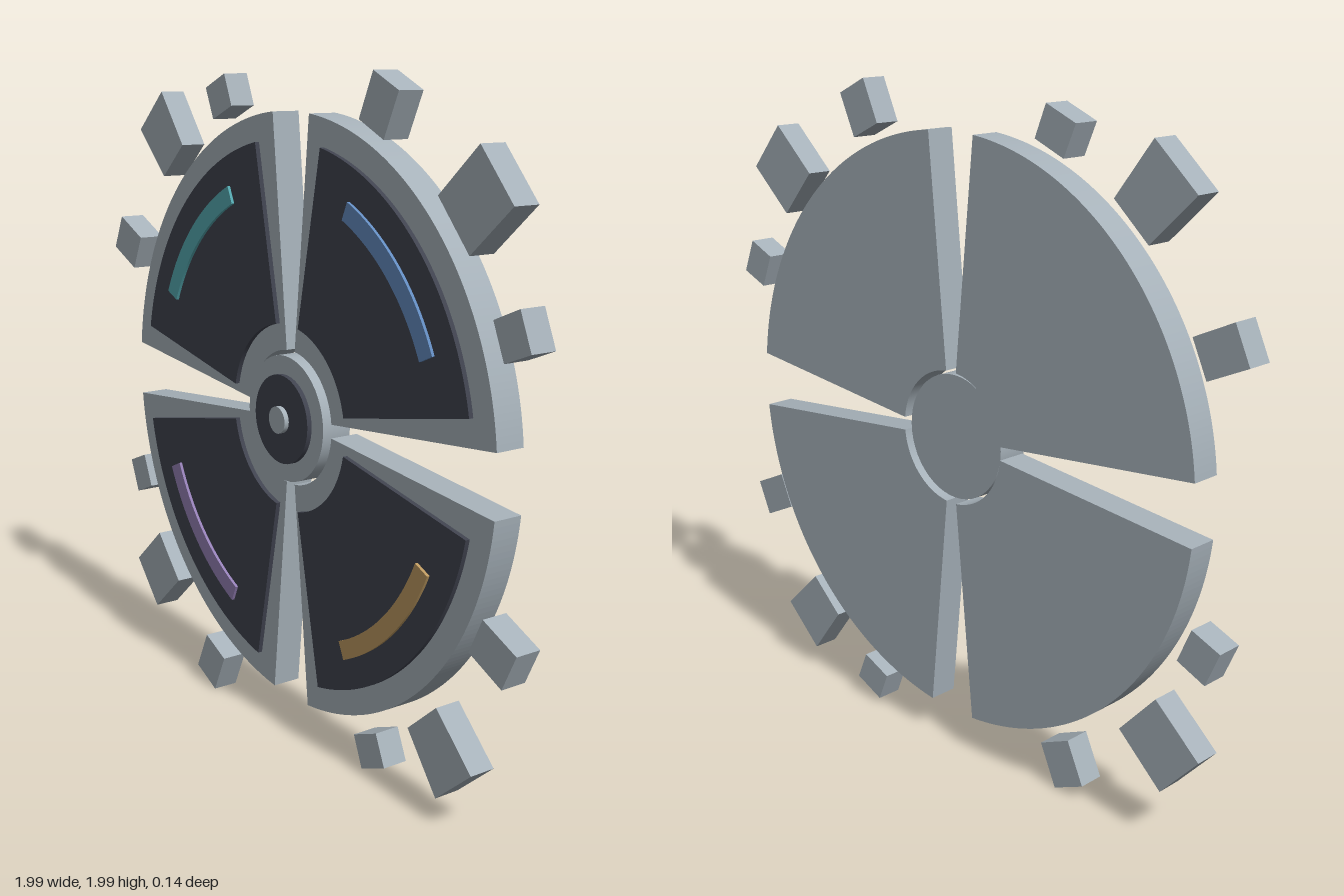
import * as THREE from 'three';

const CENTRE_Y = 1.003;
const DEG = Math.PI / 180;

function material(name, color) {
  const m = new THREE.MeshStandardMaterial({ color });
  m.name = name;
  return m;
}

// Extrude a flat shape between two depths
function slab(name, shape, z0, z1, mat, curveSegments = 32) {
  const geo = new THREE.ExtrudeGeometry(shape, { depth: z1 - z0, bevelEnabled: false, curveSegments });
  geo.translate(0, 0, z0);
  const mesh = new THREE.Mesh(geo, mat);
  mesh.name = name;
  return mesh;
}

// Ring sector spanning angles a0..a1 (radians)
function sector(rIn, rOut, a0, a1) {
  const s = new THREE.Shape();
  s.moveTo(rIn * Math.cos(a0), rIn * Math.sin(a0));
  s.absarc(0, 0, rOut, a0, a1, false);
  s.absarc(0, 0, rIn, a1, a0, true);
  return s;
}

// Block lying along +x, with separate inner and outer widths
function blockShape(rIn, rOut, wIn, wOut) {
  return new THREE.Shape([
    new THREE.Vector2(rIn, -wIn / 2),
    new THREE.Vector2(rOut, -wOut / 2),
    new THREE.Vector2(rOut, wOut / 2),
    new THREE.Vector2(rIn, wIn / 2),
  ]);
}

function disc(name, radius, z0, z1, mat) {
  const geo = new THREE.CylinderGeometry(radius, radius, z1 - z0, 48);
  geo.rotateX(Math.PI / 2);
  geo.translate(0, 0, (z0 + z1) / 2);
  const mesh = new THREE.Mesh(geo, mat);
  mesh.name = name;
  return mesh;
}

export function createModel() {
  const model = new THREE.Group();
  model.name = 'segmentedWheel';
  const wheel = new THREE.Group();
  wheel.name = 'wheel';
  wheel.position.y = CENTRE_Y;
  model.add(wheel);

  const grey = material('paleGrey', 0xa6b1b9);
  const dark = material('darkSlate', 0x40434f);
  const lights = [
    material('blue', 0x638cc0),
    material('teal', 0x56abb2),
    material('purple', 0x9580b6),
    material('amber', 0xbc9960),
  ];

  for (let i = 0; i < 4; i++) {
    const quarter = new THREE.Group();
    quarter.name = 'quarter' + (i + 1);
    quarter.rotation.z = i * Math.PI / 2;
    wheel.add(quarter);

    // Wedge with inset panel and light strip
    const end = Math.PI / 2;
    quarter.add(slab('wedge', sector(0.2, 0.88, 0.1, end - 0.1), -0.07, 0.02, grey));
    quarter.add(slab('panel', sector(0.278, 0.803, 0.198, end - 0.198), 0.02, 0.034, dark));
    quarter.add(slab('lightStrip', sector(0.66, 0.715, 24.2 * DEG, 65.8 * DEG), 0.034, 0.043, lights[i]));

    // Floating blocks round the rim
    const bigInner = i % 2 ? 0.155 : 0.183;
    const blocks = [
      ['shortBlock', 22.7, 0.936, 1.036, 0.11, 0.112, -0.065, 0.015],
      ['largeBlock', 41.6, 0.945, 1.145, bigInner, 0.185, -0.05, 0.03],
      ['longBlock', 65, 0.933, 1.071, 0.115, 0.116, -0.036, 0.044],
    ];
    for (const [name, angle, rIn, rOut, wIn, wOut, z0, z1] of blocks) {
      const block = slab(name, blockShape(rIn, rOut, wIn, wOut), z0, z1, grey);
      block.rotation.z = angle * DEG;
      quarter.add(block);
    }
  }

  // Stepped central hub
  wheel.add(disc('hub', 0.187, -0.055, 0.04, grey));
  wheel.add(disc('hubCap', 0.132, 0.04, 0.055, dark));
  wheel.add(disc('hubKnob', 0.04, 0.055, 0.07, grey));

  return model;
}
